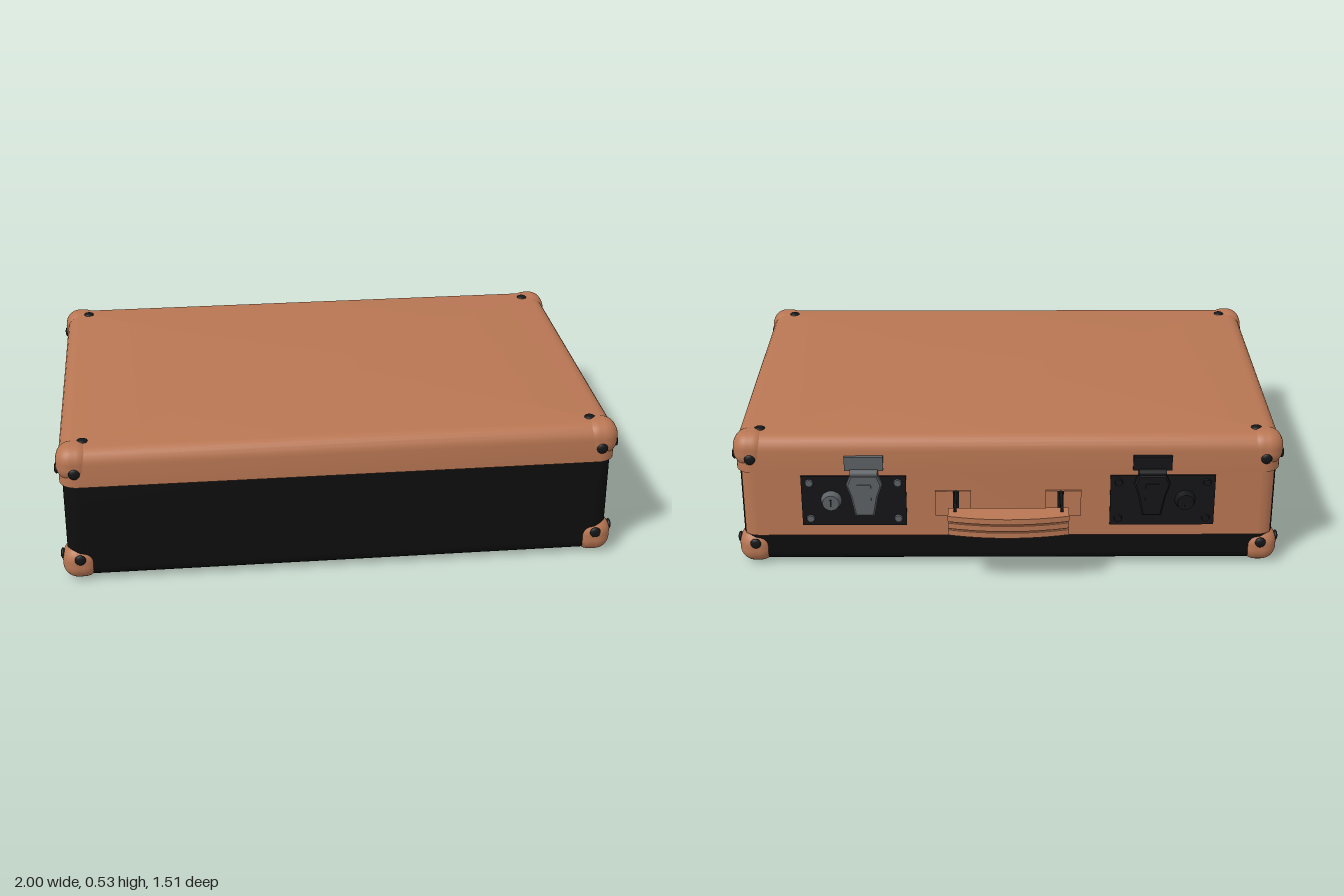
import * as THREE from 'three';
import { toCreasedNormals } from 'three/addons/utils/BufferGeometryUtils.js';
import { RoundedBoxGeometry } from 'three/addons/geometries/RoundedBoxGeometry.js';

const mat = (name, color) => {
  const m = new THREE.MeshStandardMaterial({ color });
  m.name = name;
  return m;
};
const ZC = 0.0925; // centre of the case in z

// Rounded-rectangle shell lofted through [inset, y] rings from bottom to top, closed at both ends
function shell(halfW, halfD, radius, profile) {
  const pos = [], idx = [], steps = 8, n = 4 * (steps + 1);
  const signs = [[1, 1], [-1, 1], [-1, -1], [1, -1]];
  for (const [inset, y] of profile) {
    const r = radius - inset;
    signs.forEach(([sx, sz], q) => {
      for (let i = 0; i <= steps; i++) {
        const a = (q + i / steps) * Math.PI / 2;
        pos.push(sx * (halfW - radius) + r * Math.cos(a), y, sz * (halfD - radius) + r * Math.sin(a));
      }
    });
  }
  for (let k = 0; k < profile.length - 1; k++) {
    for (let i = 0; i < n; i++) {
      const a = k * n + i, b = k * n + (i + 1) % n;
      idx.push(a, a + n, b, b, a + n, b + n);
    }
  }
  const last = (profile.length - 1) * n, c = profile.length * n;
  pos.push(0, profile[0][1], 0, 0, profile.at(-1)[1], 0);
  for (let i = 0; i < n; i++) {
    const j = (i + 1) % n;
    idx.push(c, i, j, c + 1, last + j, last + i);
  }
  const g = new THREE.BufferGeometry();
  g.setAttribute('position', new THREE.Float32BufferAttribute(pos, 3));
  g.setIndex(idx);
  return toCreasedNormals(g, 0.6);
}

// Quarter-round edge as [inset, y] rings; dir is +1 for a top edge and -1 for a bottom edge
const roundEdge = (r, yEnd, dir) => Array.from({ length: 7 }, (_, i) => {
  const a = i / 6 * Math.PI / 2;
  return [r * (1 - Math.cos(a)), yEnd - dir * r * (1 - Math.sin(a))];
});

export function createModel() {
  const brown = mat('tan leather', 0xb87653);
  const black = mat('black cloth', 0x0e0e0e);
  const metal = mat('grey metal', 0x5c6064);
  const dark = mat('dark metal', 0x141517);
  const model = new THREE.Group();
  model.name = 'suitcase';

  const add = (name, geo, material, x = 0, y = 0, z = 0, parent = model) => {
    const m = new THREE.Mesh(geo, material);
    m.name = name;
    m.position.set(x, y, z);
    parent.add(m);
    return m;
  };
  const box = (w, h, d) => new THREE.BoxGeometry(w, h, d);

  // Case and lid
  add('base', shell(0.975, 0.644, 0.06, [...roundEdge(0.045, 0.012, -1).reverse(), [0, 0.385]]), black, 0, 0, ZC);
  add('lid', shell(0.985, 0.652, 0.065, [[0, 0.383], ...roundEdge(0.055, 0.521, 1)]), brown, 0, 0, ZC);

  // Leather back panel wrapping a little around the rear corners
  const p = new THREE.Shape();
  const d2r = Math.PI / 180;
  p.absarc(-0.915, -0.4915, 0.065, 220 * d2r, 270 * d2r, false);
  p.absarc(0.915, -0.4915, 0.065, 270 * d2r, 320 * d2r, false);
  p.closePath();
  const panel = new THREE.ExtrudeGeometry(p, { depth: 0.257, bevelEnabled: false, curveSegments: 8 });
  panel.rotateX(Math.PI / 2);
  add('backPanel', toCreasedNormals(panel, 0.5), brown, 0, 0.383, 0);

  // Corner guards, each with three rivets
  const capGeo = new RoundedBoxGeometry(0.13, 0.13, 0.13, 5, 0.055);
  const rivetGeo = new THREE.SphereGeometry(0.02, 14, 10);
  for (const sx of [-1, 1]) for (const sz of [-1, 1]) for (const sy of [-1, 1]) {
    const corner = new THREE.Group();
    corner.name = sy > 0 ? 'lidCorner' : 'baseCorner';
    const X = sx * 0.993, Z = ZC + sz * 0.655, Y = sy > 0 ? 0.526 : 0.004;
    add('cornerGuard', capGeo, brown, X - sx * 0.065, Y - sy * 0.065, Z - sz * 0.065, corner);
    const rivet = (x, y, z, axis) => {
      add('rivet', rivetGeo, dark, X - sx * x, Y - sy * y, Z - sz * z, corner).scale[axis] = 0.45;
    };
    rivet(0.002, 0.089, 0.06, 'x');
    rivet(0.064, 0.089, 0.002, 'z');
    rivet(0.094, 0.006, 0.09, 'y');
    model.add(corner);
  }

  // Latches: plate, screws, key lock, tapered hasp and lid catch
  const hasp = new THREE.Shape();
  [[-0.05, 0.385], [-0.065, 0.345], [-0.05, 0.3], [-0.035, 0.22], [0.035, 0.22], [0.05, 0.3], [0.065, 0.345], [0.05, 0.385]]
    .forEach(([x, y], i) => (i ? hasp.lineTo(x, y) : hasp.moveTo(x, y)));
  const haspGeo = new THREE.ExtrudeGeometry(hasp, {
    depth: 0.016, bevelThickness: 0.006, bevelSize: 0.006, bevelOffset: -0.006, bevelSegments: 1,
  });
  const disc = (r1, r2, h) => new THREE.CylinderGeometry(r1, r2, h, 20).rotateX(-Math.PI / 2);
  for (const s of [1, -1]) {
    const fit = s > 0 ? metal : dark;
    const latch = new THREE.Group();
    latch.name = s > 0 ? 'leftLatch' : 'rightLatch';
    add('latchPlate', box(0.38, 0.2, 0.008), dark, s * 0.56, 0.272, -0.56, latch);
    for (const x of [0.4, 0.72]) for (const y of [0.2, 0.345]) {
      add('screw', disc(0.013, 0.016, 0.008), fit, s * x, y, -0.566, latch);
    }
    add('keyLock', disc(0.03, 0.038, 0.026), fit, s * 0.642, 0.275, -0.577, latch);
    add('keySlot', box(0.006, 0.028, 0.006), dark, s * 0.642, 0.275, -0.589, latch);
    add('hasp', haspGeo, fit, s * 0.52, 0, -0.582, latch);
    add('haspRidge', box(0.05, 0.1, 0.008), fit, s * 0.52, 0.3, -0.588, latch);
    add('lidCatch', box(0.14, 0.055, 0.014), fit, s * 0.52, 0.425, -0.566, latch);
    add('catchHook', new THREE.CylinderGeometry(0.014, 0.014, 0.1, 12).rotateZ(Math.PI / 2), fit, s * 0.52, 0.39, -0.575, latch);
    model.add(latch);
  }

  // Carrying handle: layered grip with an arched outer edge
  const handle = new THREE.Group();
  handle.name = 'handle';
  const grip = (name, halfW, zIn, zEnd, zMid, y, h) => {
    const s = new THREE.Shape();
    s.moveTo(-halfW, zIn);
    s.lineTo(-halfW, zEnd);
    s.quadraticCurveTo(0, 2 * zMid - zEnd, halfW, zEnd);
    s.lineTo(halfW, zIn);
    const g = new THREE.ExtrudeGeometry(s, { depth: h, bevelEnabled: false, curveSegments: 14 });
    g.rotateX(Math.PI / 2);
    add(name, toCreasedNormals(g, 0.5), brown, 0, y + h / 2, 0, handle);
  };
  grip('gripCore', 0.21, -0.67, -0.722, -0.748, 0.259, 0.07);
  for (const y of [0.232, 0.259, 0.286]) grip('gripLayer', 0.215, -0.666, -0.729, -0.755, y, 0.021);

  // Wire loops and leather tabs holding the grip
  for (const s of [1, -1]) {
    add('handleTab', box(0.13, 0.1, 0.008), brown, s * 0.2, 0.26, -0.559, handle);
    add('loopBase', box(0.022, 0.1, 0.008), dark, s * 0.19, 0.26, -0.565, handle);
    for (const y of [0.215, 0.305]) add('loopRod', box(0.01, 0.01, 0.14), dark, s * 0.19, y, -0.628, handle);
    add('loopPin', box(0.01, 0.1, 0.01), dark, s * 0.19, 0.26, -0.693, handle);
  }
  model.add(handle);
  return model;
}
